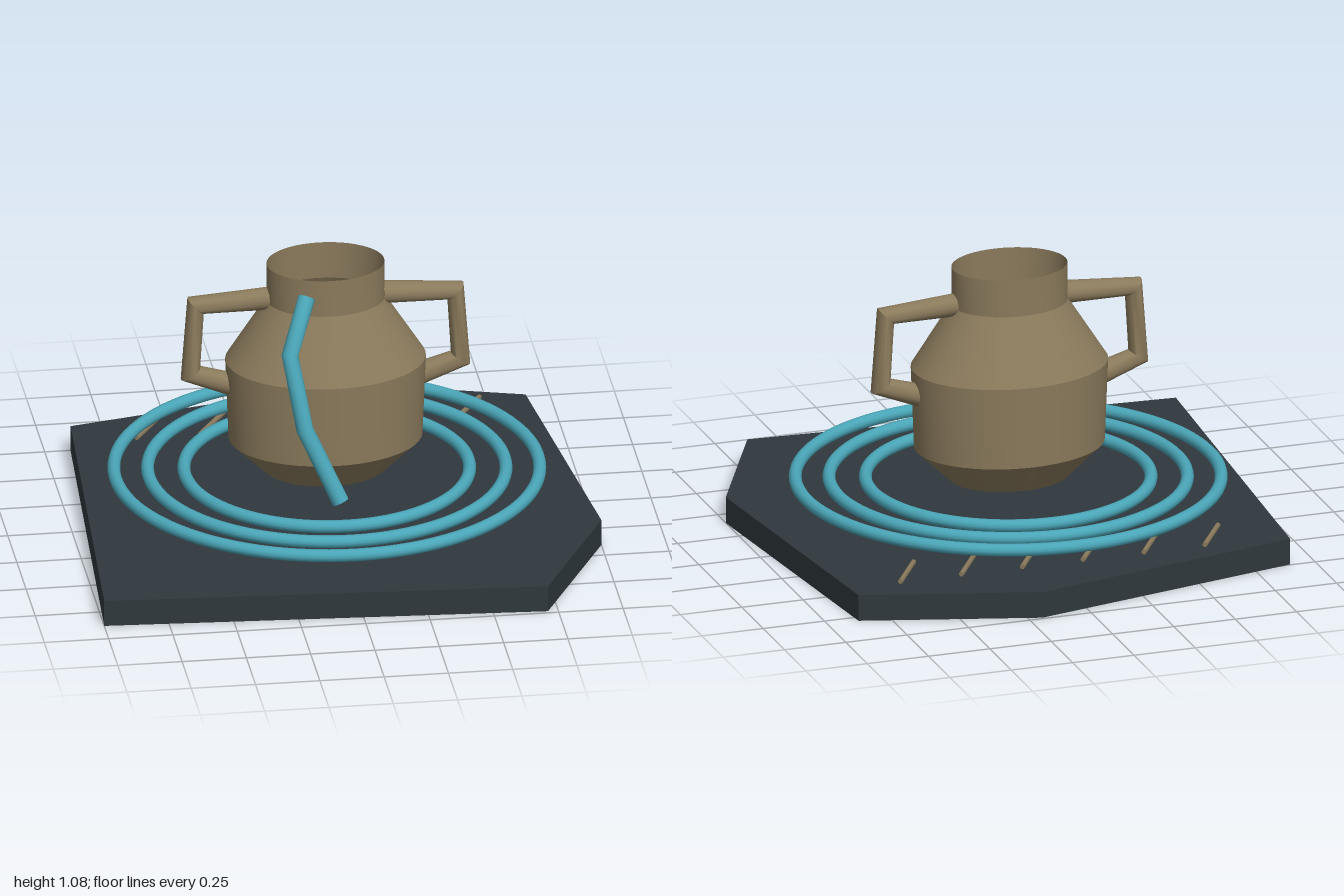
import * as THREE from 'three';
import { toCreasedNormals } from 'three/addons/utils/BufferGeometryUtils.js';

// Round rod through the given points, one ring per point set on the corner bisector, with end caps
function rod(points, radius, ref, sides = 20) {
  const p = points.map(a => new THREE.Vector3(...a));
  const n = p.length, pos = [], idx = [];
  p.forEach((c, i) => {
    const t = new THREE.Vector3();
    if (i > 0) t.add(c.clone().sub(p[i - 1]).normalize());
    if (i < n - 1) t.add(p[i + 1].clone().sub(c).normalize());
    t.normalize();
    const u = ref.clone().addScaledVector(t, -t.dot(ref)).normalize();
    const v = t.clone().cross(u);
    for (let j = 0; j < sides; j++) {
      const a = (j / sides) * Math.PI * 2;
      const q = c.clone().addScaledVector(u, radius * Math.cos(a)).addScaledVector(v, radius * Math.sin(a));
      pos.push(q.x, q.y, q.z);
    }
  });
  pos.push(...p[0].toArray(), ...p[n - 1].toArray());
  const start = n * sides, end = start + 1;
  for (let j = 0; j < sides; j++) {
    const k = (j + 1) % sides;
    for (let i = 0; i < n - 1; i++) {
      const a = i * sides + j, b = i * sides + k;
      idx.push(a, b, a + sides, b, b + sides, a + sides);
    }
    idx.push(start, k, j, end, (n - 1) * sides + j, (n - 1) * sides + k);
  }
  const g = new THREE.BufferGeometry();
  g.setAttribute('position', new THREE.Float32BufferAttribute(pos, 3));
  g.setIndex(idx);
  return toCreasedNormals(g, 0.75);
}

export function createModel() {
  const model = new THREE.Group();
  const slate = new THREE.MeshStandardMaterial({ name: 'dark slate', color: 0x2f383d });
  const clay = new THREE.MeshStandardMaterial({ name: 'clay', color: 0x8a7a5c, side: THREE.DoubleSide });
  const teal = new THREE.MeshStandardMaterial({ name: 'water teal', color: 0x4aa6b8 });
  const add = (name, geometry, material, parent = model) => {
    const m = new THREE.Mesh(geometry, material);
    m.name = name;
    parent.add(m);
    return m;
  };

  // Irregular stone slab
  const outline = [[-0.9, -0.745], [0.195, -0.99], [0.875, -0.79], [1, 0.405], [0.71, 0.985], [-1, 0.88]];
  const slab = new THREE.ExtrudeGeometry(
    new THREE.Shape(outline.map(([x, z]) => new THREE.Vector2(x, -z))),
    { depth: 0.105, bevelEnabled: false });
  add('baseSlab', slab.rotateX(-Math.PI / 2), slate);

  // Concentric ripples hovering over the slab
  const ripples = new THREE.Group();
  ripples.name = 'ripples';
  model.add(ripples);
  [0.55, 0.69, 0.82].forEach((r, i) => {
    const g = new THREE.TorusGeometry(r, 0.025, 12, 96).rotateX(Math.PI / 2);
    add('ripple' + (i + 1), g, teal, ripples).position.set(-0.01, 0.21, 0);
  });

  // Slanted dashes along the back
  const dashes = new THREE.Group();
  dashes.name = 'dashes';
  model.add(dashes);
  const dash = rod([[-0.06, 0, 0.095], [0.06, 0, -0.095]], 0.01, new THREE.Vector3(0, 1, 0), 10);
  for (let i = 0; i < 6; i++)
    add('dash' + (i + 1), dash, clay, dashes).position.set(-0.61 + i * 0.248, 0.125, -0.655);

  // Oval open jar
  const jar = new THREE.Group();
  jar.name = 'jar';
  jar.position.x = -0.015;
  model.add(jar);
  const profile = [[0.235, 0.215], [0.375, 0.35], [0.388, 0.68], [0.228, 0.93], [0.228, 1.08]];
  const body = new THREE.LatheGeometry(profile.map(q => new THREE.Vector2(...q)), 48);
  body.scale(1, 1, 0.795);
  add('jarBody', toCreasedNormals(body, 0.4), clay, jar);

  // Angular handles, one on each side
  for (const s of [1, -1]) {
    const path = [[0.222, 0.94], [0.505, 0.928], [0.525, 0.643], [0.36, 0.585]];
    add(s > 0 ? 'leftHandle' : 'rightHandle',
      rod(path.map(([x, y]) => [s * x, y, 0]), 0.045, new THREE.Vector3(0, 0, 1)), clay, jar);
  }

  // Stream running down the front
  add('stream', rod([[-0.115, 1.02, 0.19], [-0.197, 0.835, 0.31], [-0.143, 0.53, 0.335], [-0.015, 0.25, 0.413]],
    0.033, new THREE.Vector3(1, 0, 0)), teal);

  return model;
}
